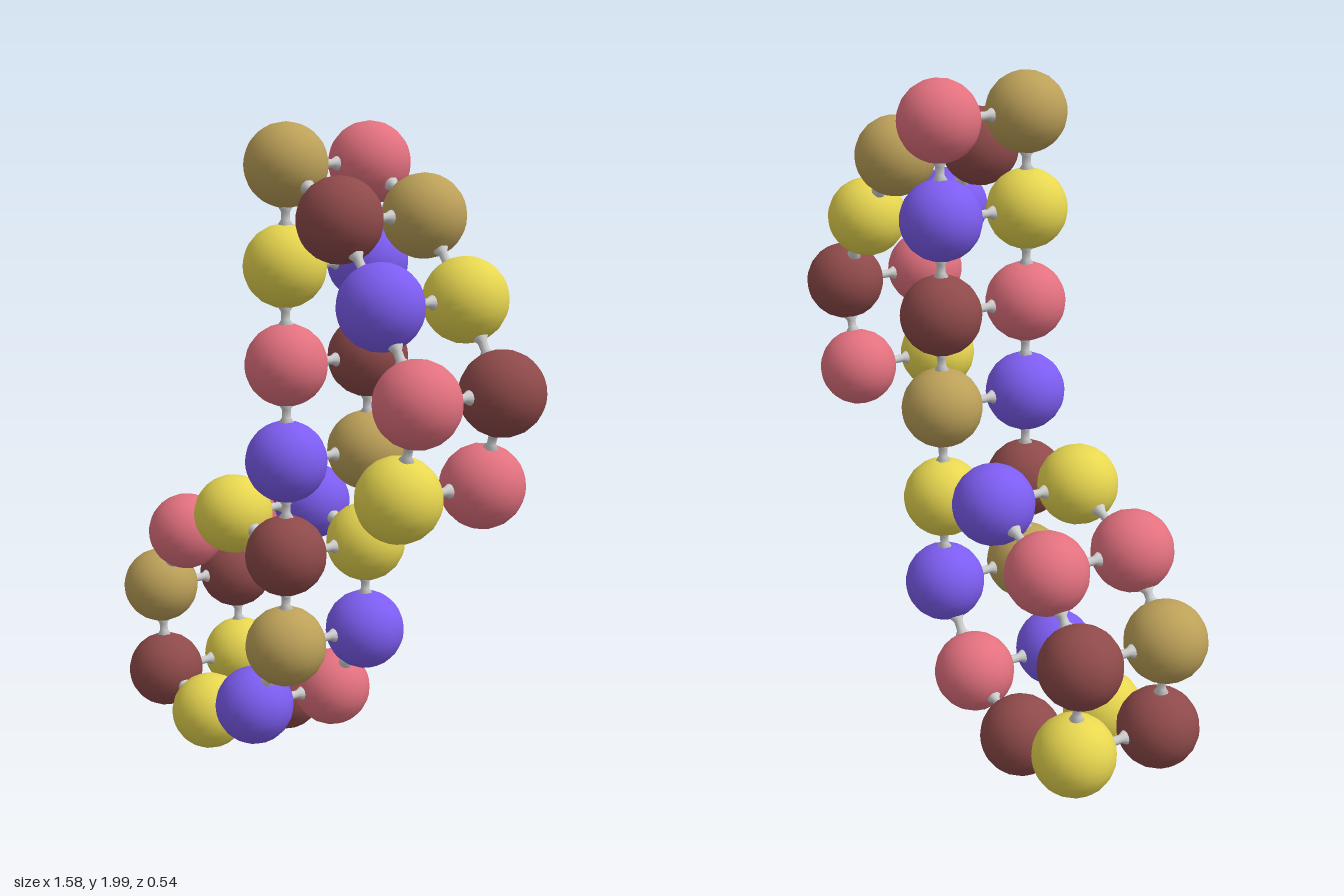
import * as THREE from 'three';

const COLORS = { tan: 0xbda159, brown: 0x8f4a4a, yellow: 0xe8d750, pink: 0xe3717f, purple: 0x7d5df2 };
const RADIUS = 0.121;
const HALF_DEPTH = 0.148;

// One chain of paired beads: x, y, front colour, back colour
const BEADS = [
  // hooked tail
  [0.59, 1.01, 'yellow', 'pink'], [0.665, 1.28, 'pink', 'brown'],
  [0.505, 1.52, 'purple', 'yellow'], [0.32, 1.74, 'brown', 'tan'],
  // straight stem, top to bottom
  [0.065, 1.88, 'tan', 'pink'], [0.058, 1.595, 'yellow', 'purple'],
  [0.063, 1.31, 'pink', 'brown'], [0.062, 1.025, 'purple', 'tan'],
  [0.058, 0.74, 'brown', 'yellow'], [0.056, 0.46, 'tan', 'purple'],
  // round loop
  [-0.115, 0.225, 'purple', 'pink'], [-0.375, 0.13, 'yellow', 'brown'],
  [-0.647, 0.197, 'brown', 'yellow'], [-0.67, 0.482, 'tan', 'brown'],
  [-0.502, 0.7, 'pink', 'pink'], [-0.225, 0.812, 'yellow', 'purple'],
];
const LOOP_JOIN = 8; // stem bead where the loop closes

export function createModel() {
  const model = new THREE.Group();
  const beadGeometry = new THREE.SphereGeometry(RADIUS, 24, 12).rotateX(Math.PI / 2);
  const rodMaterial = new THREE.MeshStandardMaterial({ color: 0xcccccc });
  const beadMaterials = {};
  for (const key in COLORS) beadMaterials[key] = new THREE.MeshStandardMaterial({ color: COLORS[key] });

  // Rod with a narrow waist, flaring where it enters each bead
  function addRod(name, a, b) {
    const h = a.distanceTo(b) / 2;
    const flare = h - RADIUS + 0.004;
    const profile = [[0.022, -h], [0.022, -flare], [0.013, -flare * 0.45],
      [0.013, flare * 0.45], [0.022, flare], [0.022, h]].map(([r, y]) => new THREE.Vector2(r, y));
    const rod = new THREE.Mesh(new THREE.LatheGeometry(profile, 12), rodMaterial);
    rod.name = name;
    rod.position.copy(a).add(b).multiplyScalar(0.5);
    rod.quaternion.setFromUnitVectors(new THREE.Vector3(0, 1, 0), b.clone().sub(a).normalize());
    model.add(rod);
  }

  const at = (i, side) => new THREE.Vector3(BEADS[i][0], BEADS[i][1], side * HALF_DEPTH);

  BEADS.forEach((spec, i) => {
    const next = i === BEADS.length - 1 ? LOOP_JOIN : i + 1;
    for (const side of [1, -1]) {
      const label = side > 0 ? 'front' : 'back';
      const bead = new THREE.Mesh(beadGeometry, beadMaterials[side > 0 ? spec[2] : spec[3]]);
      bead.name = label + 'Bead';
      bead.position.copy(at(i, side));
      model.add(bead);
      // link along the chain
      addRod(label + 'Link', at(i, side), at(next, side));
    }
    // rung joining the two chains
    addRod('rung', at(i, -1), at(i, 1));
  });
  return model;
}
